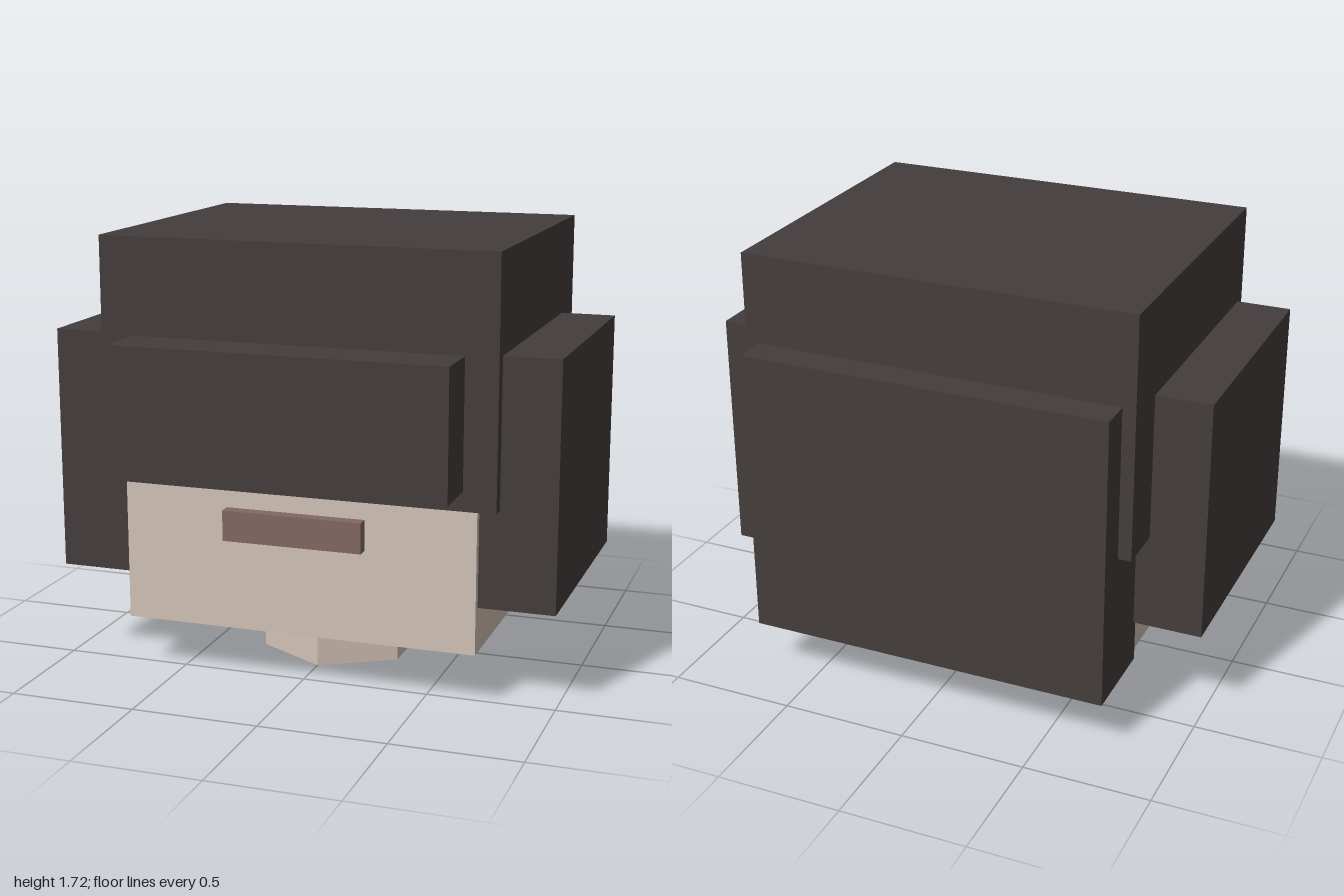
import * as THREE from 'three';

const mat = (name, color) => {
  const m = new THREE.MeshStandardMaterial({ color });
  m.name = name;
  return m;
};

export function createModel() {
  const model = new THREE.Group();
  model.name = 'blockHead';
  const skin = mat('skin', 0xd2c2b6);
  const hair = mat('dark hair', 0x443d3c);
  const lips = mat('lips', 0x826863);
  const eyes = mat('eyes', 0x33302f);
  eyes.flatShading = true;
  skin.flatShading = true;

  // Box given by its low and high limits on each axis
  const block = (name, material, [x0, x1], [y0, y1], [z0, z1]) => {
    const mesh = new THREE.Mesh(new THREE.BoxGeometry(x1 - x0, y1 - y0, z1 - z0), material);
    mesh.position.set((x0 + x1) / 2, (y0 + y1) / 2, (z0 + z1) / 2);
    mesh.name = name;
    model.add(mesh);
  };

  // Head and six-sided neck
  block('head', skin, [-0.705, 0.705], [0.205, 1.6], [-0.545, 0.57]);
  const neck = new THREE.Mesh(new THREE.CylinderGeometry(0.327, 0.327, 0.3, 6), skin);
  neck.position.set(0, 0.15, 0.013);
  neck.name = 'neck';
  model.add(neck);

  // Mouth
  block('mouth', lips, [-0.277, 0.277], [0.575, 0.695], [0.585, 0.635]);

  // Hair: crown, fringe, back and sides
  block('crownHair', hair, [-0.782, 0.782], [0.763, 1.72], [-0.67, 0.592]);
  block('fringe', hair, [-0.655, 0.655], [0.838, 1.34], [0.55, 0.8]);
  block('backHair', hair, [-0.73, 0.73], [0.208, 1.365], [-0.8, -0.447]);

  for (const [side, label] of [[1, 'left'], [-1, 'right']]) {
    const xs = side > 0 ? [0.66, 1] : [-1, -0.66];
    block(label + 'SideHair', hair, xs, [0.383, 1.34], [-0.47, 0.54]);

    // Eyes, nearly hidden under the fringe
    const eye = new THREE.Mesh(new THREE.SphereGeometry(0.1, 8, 6), eyes);
    eye.position.set(side * 0.35, 0.92, 0.58);
    eye.name = label + 'Eye';
    model.add(eye);
  }
  return model;
}
